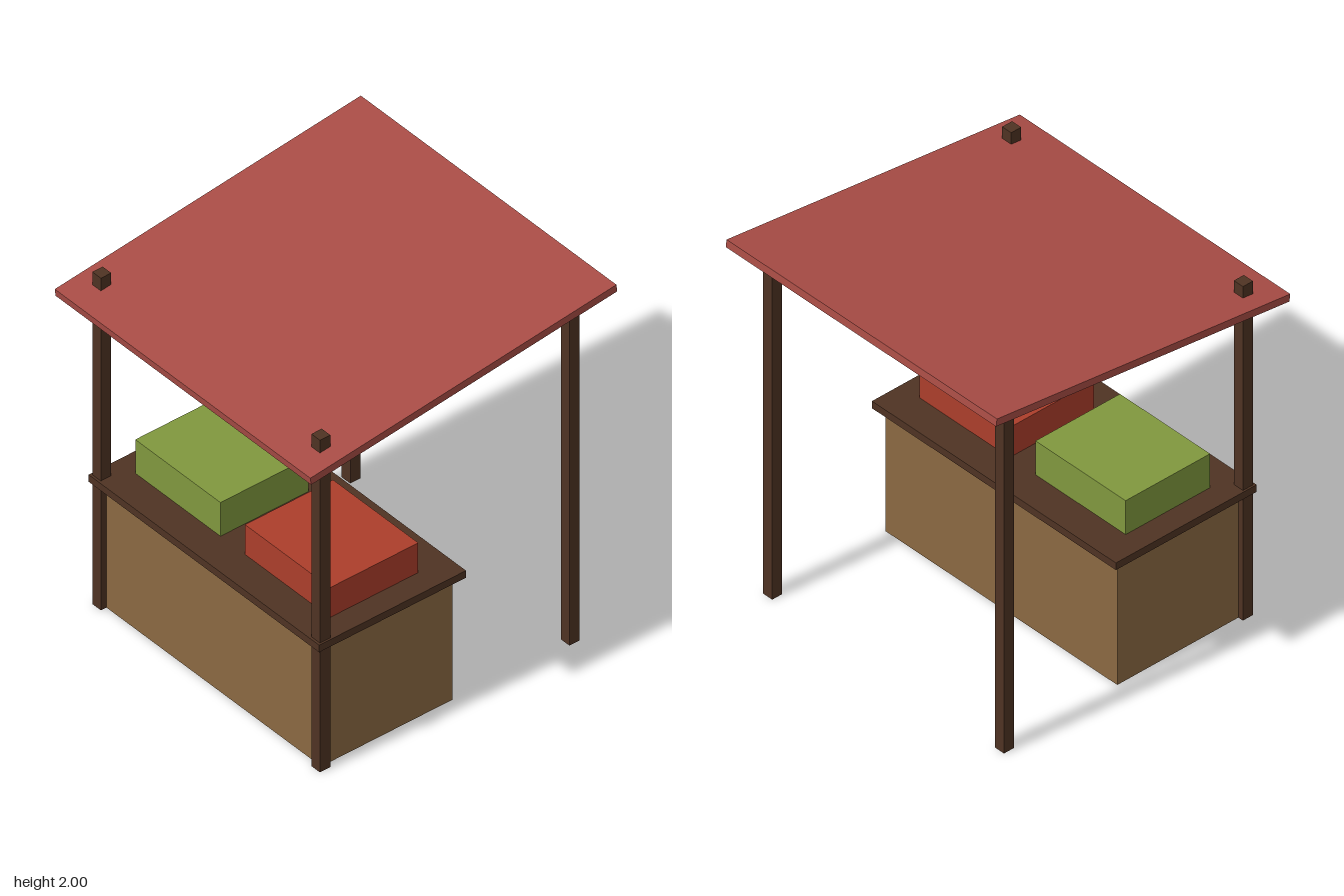
import * as THREE from 'three';

const material = (name, color) => {
  const m = new THREE.MeshStandardMaterial({ color });
  m.name = name;
  return m;
};

export function createModel() {
  const stall = new THREE.Group();
  stall.name = 'marketStall';

  const darkWood = material('dark wood', 0x4f3323);
  const lightWood = material('light wood', 0x8b6942);
  const roofRed = material('roof red', 0xa84c45);
  const leafGreen = material('crate green', 0x80983e);
  const brightRed = material('crate red', 0xac3e2b);

  const box = (name, mat, size, position) => {
    const mesh = new THREE.Mesh(new THREE.BoxGeometry(...size), mat);
    mesh.name = name;
    mesh.position.set(...position);
    stall.add(mesh);
    return mesh;
  };

  // Counter body with an overhanging top, a hair above it
  box('counterBody', lightWood, [1.53, 0.68, 0.76], [0, 0.34, 0.34]);
  box('counterTop', darkWood, [1.61, 0.04, 0.85], [0, 0.71, 0.34]);

  // Four corner posts; the front pair pokes through the roof
  for (const [side, x] of [['Left', 0.765], ['Right', -0.765]]) {
    for (const [end, z] of [['front', 0.722], ['back', -0.722]]) {
      box(`${end}${side}Post`, darkWood, [0.06, 1.874, 0.06], [x, 0.937, z]);
    }
  }

  // Sloping roof, low at the front
  const roof = box('roof', roofRed, [1.785, 0.04, 1.785], [0, 1.873, 0]);
  roof.rotation.x = 0.12;

  // Produce crates
  box('greenCrate', leafGreen, [0.595, 0.19, 0.51], [-0.383, 0.825, 0.343]);
  box('redCrate', brightRed, [0.595, 0.168, 0.51], [0.383, 0.814, 0.343]);

  return stall;
}
